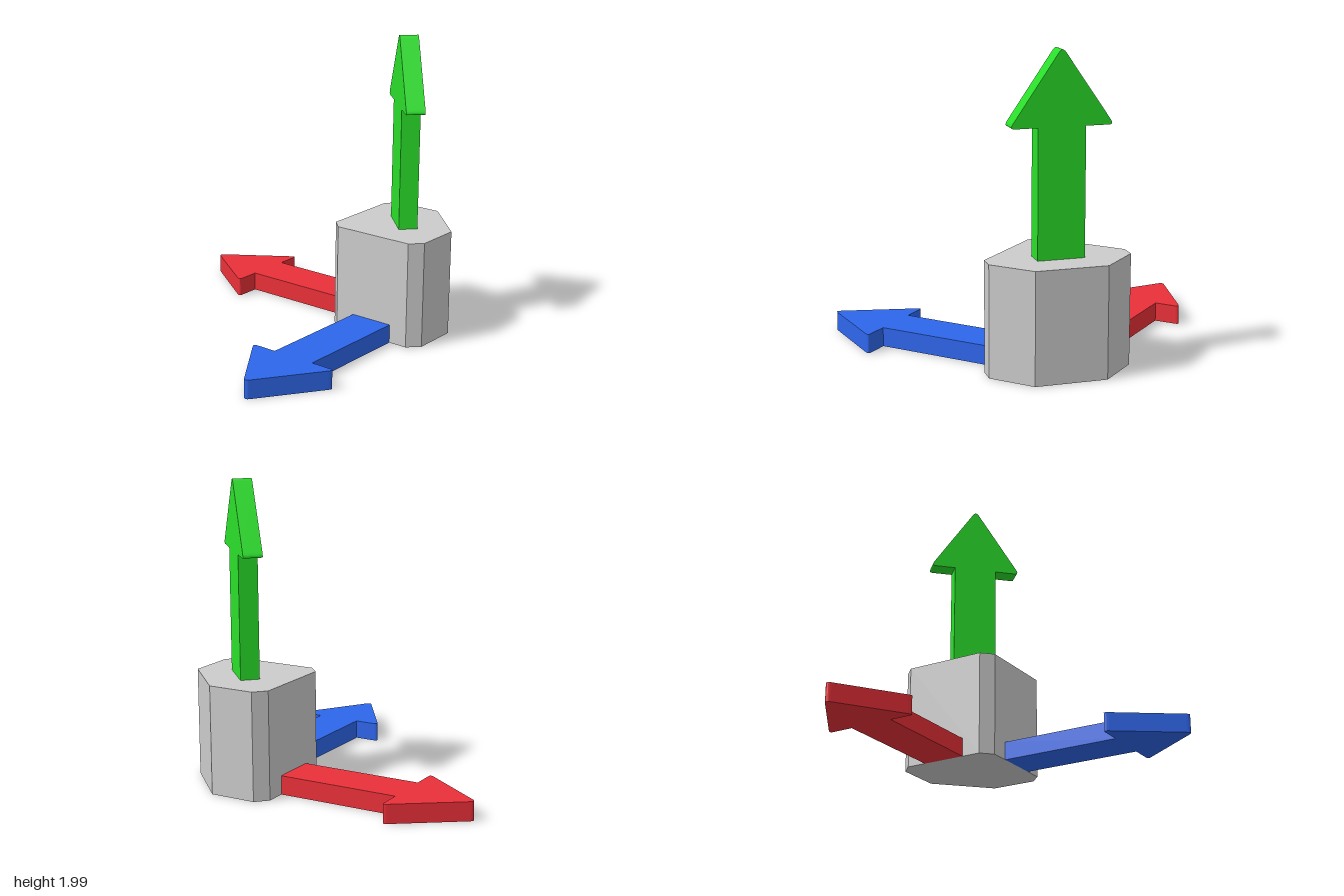
import * as THREE from 'three';

const THICK = 0.125; // arrow plate thickness

// Flat arrow pointing along +y, with softly rounded head corners
function arrowGeometry(shaft) {
  const s = new THREE.Shape();
  s.moveTo(-0.15, 0);
  s.lineTo(0.15, 0);
  s.lineTo(0.15, shaft);
  s.lineTo(0.295, shaft);
  s.quadraticCurveTo(0.327, shaft, 0.303, shaft + 0.035);
  s.lineTo(0.022, shaft + 0.445);
  s.quadraticCurveTo(0, shaft + 0.477, -0.022, shaft + 0.445);
  s.lineTo(-0.303, shaft + 0.035);
  s.quadraticCurveTo(-0.327, shaft, -0.295, shaft);
  s.lineTo(-0.15, shaft);
  s.closePath();
  return new THREE.ExtrudeGeometry(s, { depth: THICK, bevelEnabled: false, curveSegments: 6 });
}

function addPart(group, name, geometry, color) {
  const mesh = new THREE.Mesh(geometry, new THREE.MeshStandardMaterial({ color }));
  mesh.name = name;
  group.add(mesh);
  return mesh;
}

export function createModel() {
  const group = new THREE.Group();
  group.name = 'axisMarker';

  // Upright block: a square with three small chamfers and one large one, as [x, z]
  const outline = [
    [0.285, 0.925], [0.36, 1], [0.675, 1], [1, 0.675],
    [1, 0.36], [0.925, 0.285], [0.36, 0.285], [0.285, 0.36],
  ];
  const shape = new THREE.Shape(outline.map(([x, z]) => new THREE.Vector2(x, -z)));
  const block = new THREE.ExtrudeGeometry(shape, { depth: 0.715, bevelEnabled: false });
  block.rotateX(-Math.PI / 2);
  addPart(group, 'block', block, 0xcccccc);

  // Flat arrow to the back
  const back = arrowGeometry(0.825).rotateX(-Math.PI / 2);
  addPart(group, 'backArrow', back, 0xea3038).position.set(0.64, 0, 0.285);

  // Flat arrow to the side
  const side = arrowGeometry(0.825).rotateX(-Math.PI / 2).rotateY(Math.PI / 2);
  addPart(group, 'sideArrow', side, 0x2e66eb).position.set(0.285, 0, 0.645);

  // Upright arrow, turned diagonally on the block
  const up = arrowGeometry(0.813).translate(0, 0, -THICK / 2).rotateY(Math.PI / 4);
  addPart(group, 'upArrow', up, 0x2adf2a).position.set(0.643, 0.715, 0.643);

  return group;
}
